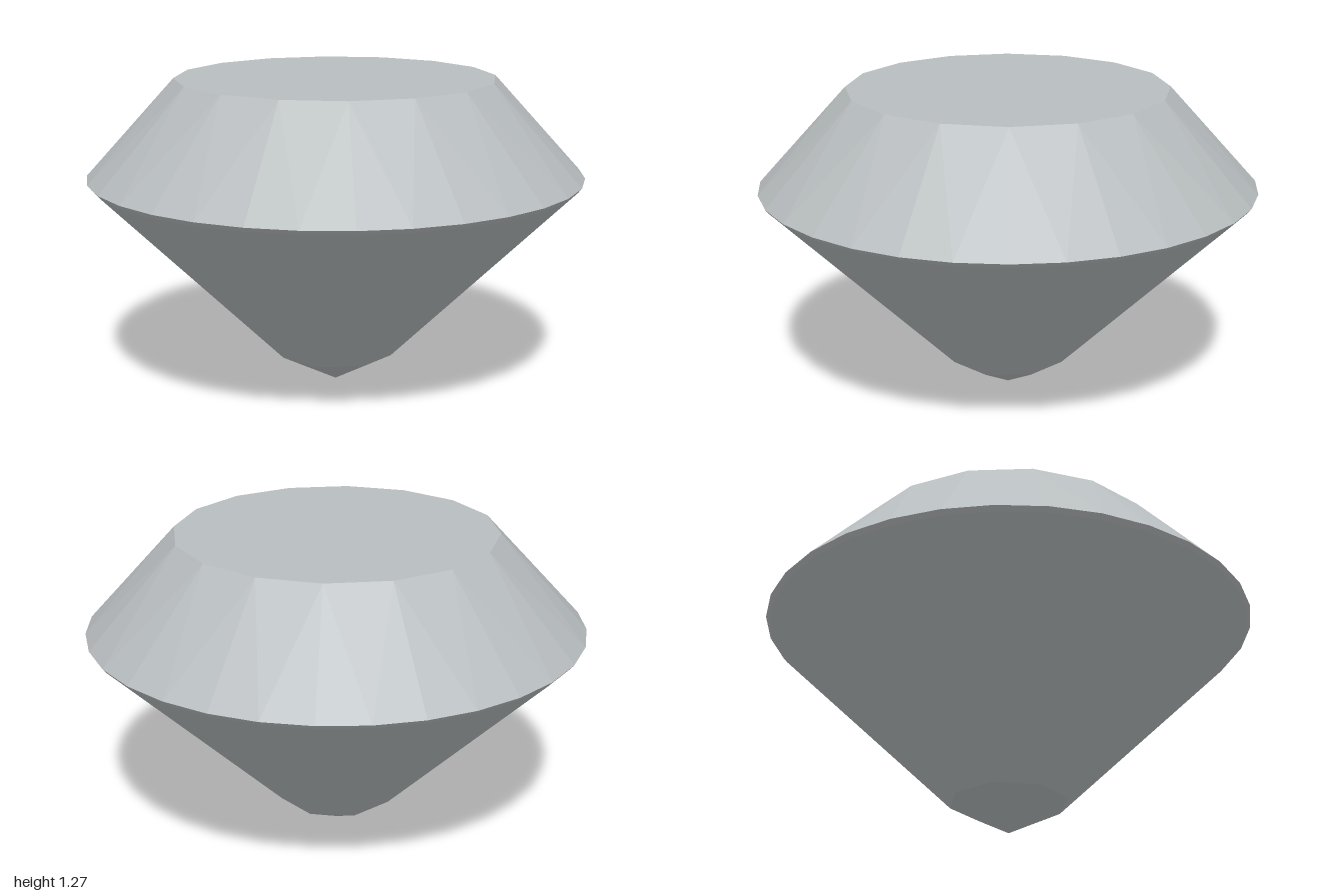
import * as THREE from 'three';

// Point on a horizontal ring, step j of n
function ringPoint({ r, y, n }, j) {
  const a = (j / n) * Math.PI * 2;
  return [r * Math.sin(a), y, r * Math.cos(a)];
}

// Triangular facets between a wide ring and a narrow ring with k times fewer corners
function facets(wide, narrow) {
  const k = wide.n / narrow.n;
  const narrowOnTop = narrow.y > wide.y;
  const pos = [];
  const tri = (a, b, c) => pos.push(...a, ...(narrowOnTop ? [...b, ...c] : [...c, ...b]));
  for (let i = 0; i < narrow.n; i++) {
    const tip = ringPoint(narrow, i);
    for (let j = k * i - k / 2; j < k * i + k / 2; j++) {
      tri(ringPoint(wide, j), ringPoint(wide, j + 1), tip);
    }
    tri(ringPoint(narrow, i + 1), tip, ringPoint(wide, k * i + k / 2));
  }
  const geo = new THREE.BufferGeometry();
  geo.setAttribute('position', new THREE.Float32BufferAttribute(pos, 3));
  geo.computeVertexNormals();
  return geo;
}

export function createModel() {
  const group = new THREE.Group();
  group.name = 'gemstone';
  const stone = new THREE.MeshStandardMaterial({ color: 0xb8bdbf });
  stone.name = 'silverGrey';
  stone.flatShading = true;

  const add = (name, geo) => {
    const mesh = new THREE.Mesh(geo, stone);
    mesh.name = name;
    group.add(mesh);
  };

  const tableRing = { r: 0.645, y: 1.27, n: 16 };
  const girdleTop = { r: 1, y: 0.88, n: 32 };
  const girdleBottom = { r: 0.985, y: 0.862, n: 32 };
  const culetRing = { r: 0.24, y: 0.125, n: 8 };

  // Flat top
  add('table', new THREE.CircleGeometry(tableRing.r, tableRing.n)
    .rotateX(-Math.PI / 2).translate(0, tableRing.y, 0));

  // Sloping upper facets
  add('crown', facets(girdleTop, tableRing));

  // Thin band at the widest part
  const h = girdleTop.y - girdleBottom.y;
  add('girdle', new THREE.CylinderGeometry(girdleTop.r, girdleBottom.r, h, 32, 1, true)
    .translate(0, girdleBottom.y + h / 2, 0));

  // Long lower facets
  add('pavilion', facets(girdleBottom, culetRing));

  // Blunt point at the bottom
  add('culet', new THREE.CylinderGeometry(culetRing.r, 0, culetRing.y, culetRing.n, 1, true)
    .translate(0, culetRing.y / 2, 0));

  return group;
}
